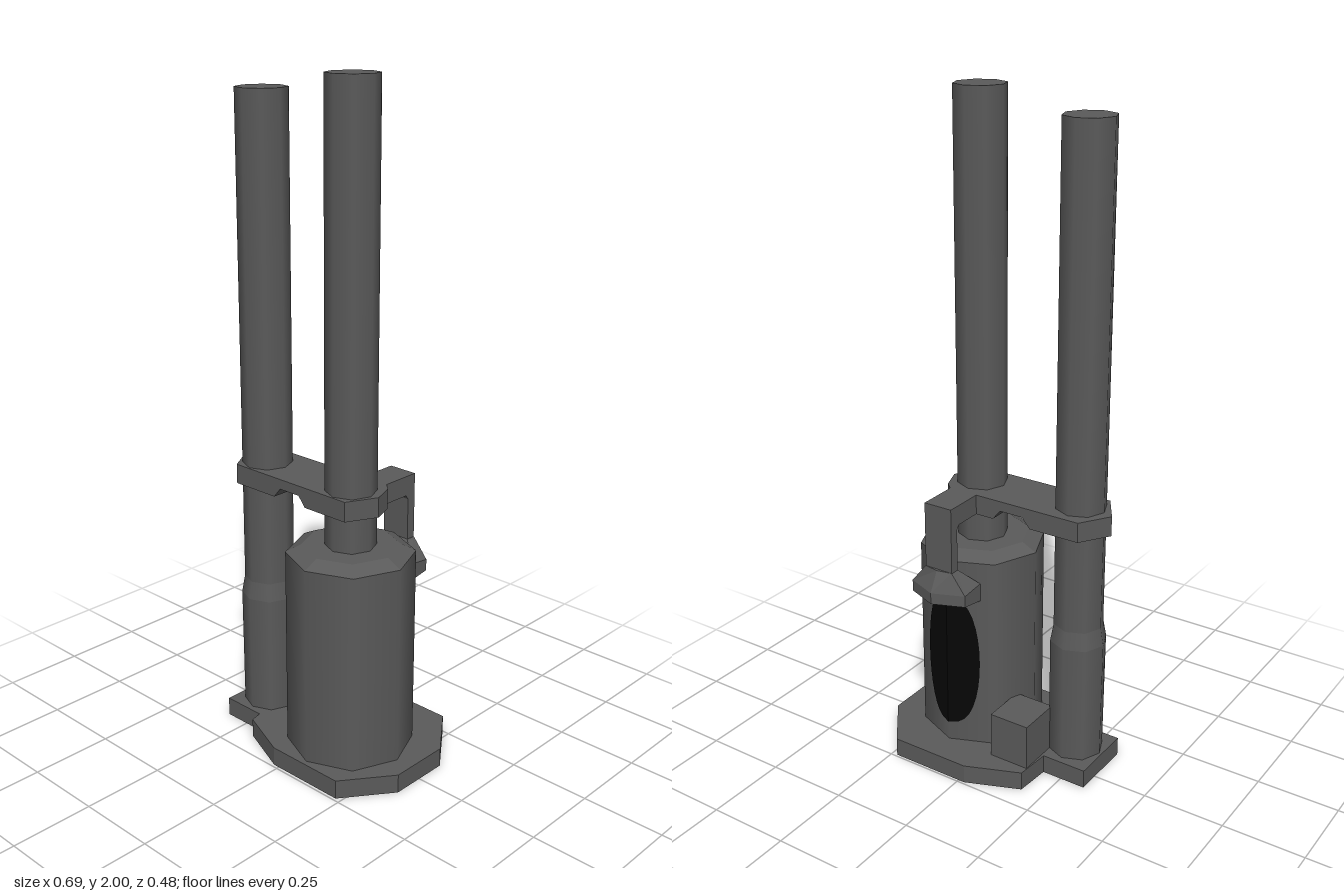
import * as THREE from 'three';

const gunmetal = new THREE.MeshStandardMaterial({ color: 0x5a5a5a });
gunmetal.name = 'gunmetal';
const black = new THREE.MeshStandardMaterial({ color: 0x070707, side: THREE.DoubleSide });
black.name = 'black';

const POST_X = 0.1, SIDE_X = -0.239, AXIS_Z = 0.038;

export function createModel() {
  const model = new THREE.Group();

  function add(name, geometry, material = gunmetal) {
    const mesh = new THREE.Mesh(geometry, material);
    mesh.name = name;
    model.add(mesh);
    return mesh;
  }

  // Flat outline of [x, z] points raised from y0 to y1
  function prism(name, points, y0, y1) {
    const shape = new THREE.Shape(points.map(([x, z]) => new THREE.Vector2(x, -z)));
    const g = new THREE.ExtrudeGeometry(shape, { depth: y1 - y0, bevelEnabled: false });
    g.rotateX(-Math.PI / 2).translate(0, y0, 0);
    return add(name, g);
  }

  // Eight-sided upright section
  function column(name, x, rTop, rBottom, y0, y1, faceted = false) {
    let g = new THREE.CylinderGeometry(rTop, rBottom, y1 - y0, 8);
    if (faceted) {
      g = g.toNonIndexed();
      g.computeVertexNormals();
    }
    g.translate(x, (y0 + y1) / 2, AXIS_Z);
    return add(name, g);
  }

  function box(name, x0, x1, y0, y1, z0, z1) {
    const g = new THREE.BoxGeometry(x1 - x0, y1 - y0, z1 - z0);
    g.translate((x0 + x1) / 2, (y0 + y1) / 2, (z0 + z1) / 2);
    return add(name, g);
  }

  // Joins horizontal rings of [x, y, z] corners, listed bottom to top
  function loft(name, rings) {
    const pos = [], n = rings[0].length;
    const tri = (...corners) => corners.forEach((c) => pos.push(...c));
    for (let r = 0; r < rings.length - 1; r++) {
      for (let i = 0; i < n; i++) {
        const j = (i + 1) % n, a = rings[r], b = rings[r + 1];
        tri(a[i], a[j], b[j]);
        tri(a[i], b[j], b[i]);
      }
    }
    const low = rings[0], top = rings[rings.length - 1];
    for (let i = 1; i < n - 1; i++) {
      tri(low[0], low[i + 1], low[i]);
      tri(top[0], top[i], top[i + 1]);
    }
    const g = new THREE.BufferGeometry();
    g.setAttribute('position', new THREE.Float32BufferAttribute(pos, 3));
    g.computeVertexNormals();
    return add(name, g);
  }

  // Foot plate with side tab
  prism('basePlate', [
    [-0.19, -0.067], [-0.182, -0.177], [-0.02, -0.243], [0.232, -0.243], [0.342, -0.095],
    [0.342, 0.095], [0.232, 0.241], [-0.02, 0.241], [-0.182, 0.175], [-0.19, 0.138],
  ], 0, 0.058);
  box('baseTab', -0.33, -0.19, 0, 0.058, -0.067, 0.138);
  box('rearBlock', -0.182, -0.055, 0.05, 0.2, -0.15, -0.01);

  // Main body and its post
  column('body', POST_X, 0.188, 0.188, 0.05, 0.667);
  column('bodyChamfer', POST_X, 0.142, 0.188, 0.667, 0.69, true);
  column('mainPost', POST_X, 0.075, 0.075, 0.68, 2);

  // Side post in its thicker sleeve
  column('sleeve', SIDE_X, 0.085, 0.083, 0.05, 0.43);
  column('sleeveTaper', SIDE_X, 0.075, 0.085, 0.43, 0.485);
  column('sidePost', SIDE_X, 0.075, 0.075, 0.485, 1.945);

  // Clamp arm with a notch underneath
  const profile = [
    [-0.288, 0.795], [-0.13, 0.795], [-0.105, 0.825], [-0.03, 0.825],
    [-0.005, 0.795], [0.145, 0.795], [0.145, 0.855], [-0.288, 0.855],
  ].map(([x, y]) => new THREE.Vector2(x, y));
  const arm = new THREE.ExtrudeGeometry(new THREE.Shape(profile), { depth: 0.181, bevelEnabled: false });
  add('clampArm', arm.translate(0, 0, -0.063));
  prism('clampSideEnd', [[-0.345, 0.027], [-0.288, -0.063], [-0.288, 0.118]], 0.795, 0.855);
  prism('clampMainEnd', [
    [0.145, -0.063], [0.17, -0.04], [0.195, 0.027], [0.15, 0.118], [0.145, 0.118],
  ], 0.795, 0.855);

  // Rear bracket, reaching back and down
  const bracket = new THREE.Shape([
    [0.055, 0.795], [0.15, 0.795], [0.159, 0.782], [0.159, 0.65],
    [0.188, 0.65], [0.188, 0.855], [0.055, 0.855],
  ].map(([z, y]) => new THREE.Vector2(z, y)));
  const bracketGeo = new THREE.ExtrudeGeometry(bracket, { depth: 0.092, bevelEnabled: false });
  add('rearBracket', bracketGeo.rotateY(Math.PI / 2).translate(0.053, 0, 0));

  // Flared hood at the bracket's foot: half width, front z, rear corner z, rear peak z
  const ring = (w, front, rear, peak, yFront, yRear) => [
    [POST_X - w, yFront, front], [POST_X + w, yFront, front],
    [POST_X + w, yRear, rear], [POST_X, yRear, peak], [POST_X - w, yRear, rear],
  ];
  loft('rearHood', [
    ring(0.094, -0.108, -0.19, -0.228, 0.546, 0.56),
    ring(0.094, -0.113, -0.19, -0.228, 0.603, 0.595),
    ring(0.046, -0.159, -0.188, -0.197, 0.655, 0.655),
  ]);

  // Dark oval panel folded over the body's rear edge
  for (const side of [-1, 1]) {
    const half = [];
    for (let i = 0; i <= 16; i++) {
      const a = -Math.PI / 2 + (Math.PI * i) / 16;
      half.push(new THREE.Vector2(
        0.1 * Math.pow(Math.max(Math.cos(a), 0), 0.7),
        0.335 + 0.215 * Math.sin(a)));
    }
    const g = new THREE.ShapeGeometry(new THREE.Shape(half));
    const p = g.attributes.position;
    for (let i = 0; i < p.count; i++) {
      const u = p.getX(i);
      p.setXYZ(i, POST_X + side * 0.924 * u, p.getY(i), -0.154 + 0.383 * u);
    }
    g.computeVertexNormals();
    add(side < 0 ? 'rightRearPanel' : 'leftRearPanel', g, black);
  }

  return model;
}
